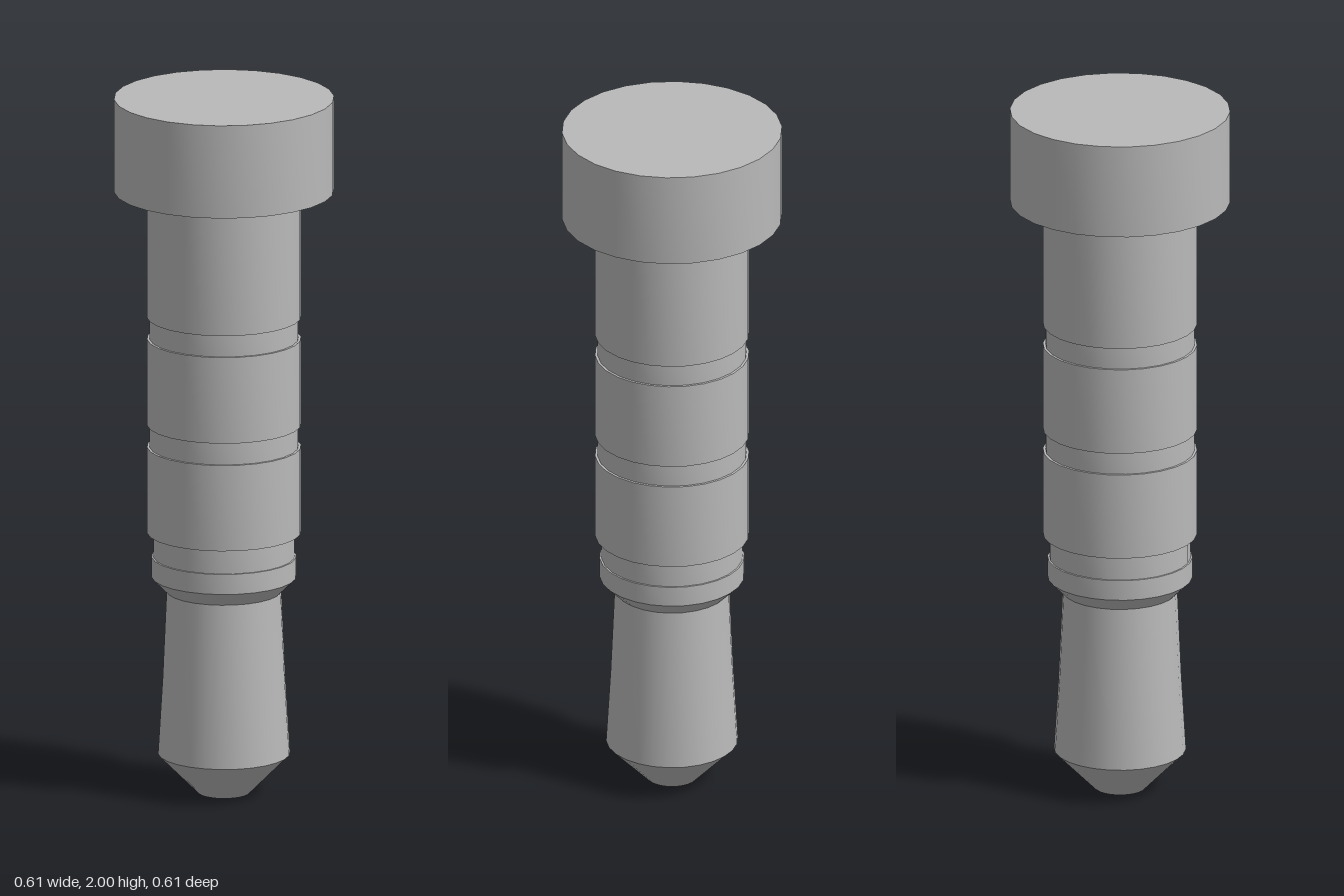
import * as THREE from 'three';
import { toCreasedNormals } from 'three/addons/utils/BufferGeometryUtils.js';

const SIDES = 26;

export function createModel() {
  const group = new THREE.Group();
  group.name = 'audioPlug';
  const metal = new THREE.MeshStandardMaterial({ color: 0xb9b9b9 });
  metal.name = 'grey metal';

  // Turned part from [radius, height] pairs, listed from bottom to top
  const turn = (name, profile) => {
    const points = profile.map(([r, y]) => new THREE.Vector2(r, y));
    const geometry = new THREE.LatheGeometry(points, SIDES, 0.026);
    const mesh = new THREE.Mesh(toCreasedNormals(geometry, 0.4), metal);
    mesh.name = name;
    group.add(mesh);
  };

  // Blunt cone and waisted shaft of the contact tip
  turn('tip', [[0, 0], [0.072, 0], [0.184, 0.113], [0.171, 0.33], [0.16, 0.58]]);

  // Bevelled shoulder and the narrower neck above it
  turn('collar', [[0.16, 0.58], [0.202, 0.622], [0.202, 0.68], [0.197, 0.68], [0.197, 0.75]]);

  // Contact sleeves with their stepped ends
  const neck = 0.197, groove = 0.208, sleeve = 0.215;
  turn('lowerSleeve', [[neck, 0.75], [sleeve, 0.75], [sleeve, 0.997], [groove, 0.997]]);
  turn('middleSleeve', [[groove, 1.06], [sleeve, 1.06], [sleeve, 1.308], [groove, 1.308]]);
  turn('upperSleeve', [[groove, 1.37], [sleeve, 1.37], [sleeve, 1.733]]);

  // Shallow insulating rings between the sleeves
  turn('lowerRing', [[groove, 0.997], [groove, 1.06]]);
  turn('upperRing', [[groove, 1.308], [groove, 1.37]]);

  // Wide flat cap
  turn('cap', [[sleeve, 1.733], [0.307, 1.733], [0.307, 2], [0, 2]]);

  return group;
}
